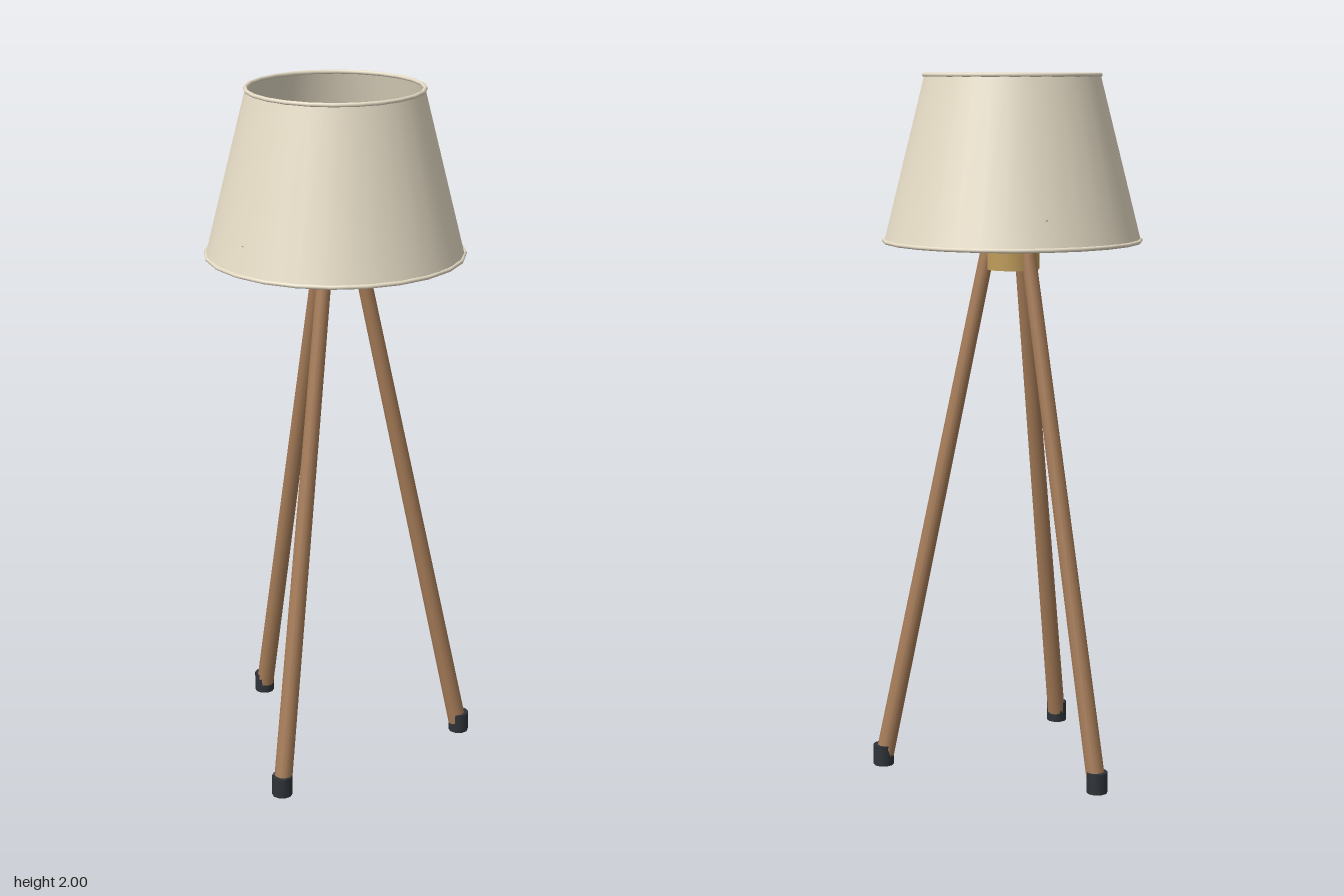
import * as THREE from 'three';

const material = (name, color, side = THREE.FrontSide) => {
  const m = new THREE.MeshStandardMaterial({ color, side });
  m.name = name;
  return m;
};

export function createModel() {
  const linen = material('linen', 0xe6dcc6, THREE.DoubleSide);
  const brass = material('brass', 0xbf9c5a);
  const wood = material('wood', 0xa67c58);
  const rubber = material('rubber', 0x2f3338);
  const glass = material('warm glass', 0xf0e2bc);

  const lamp = new THREE.Group();
  lamp.name = 'tripodFloorLamp';
  lamp.position.set(-0.005, 0, -0.02);

  const add = (name, geometry, mat, y = 0) => {
    const mesh = new THREE.Mesh(geometry, mat);
    mesh.name = name;
    mesh.position.y = y;
    lamp.add(mesh);
    return mesh;
  };
  // tapered rod between two points
  const rod = (name, a, b, ra, rb, sides, mat) => {
    const dir = b.clone().sub(a);
    const mesh = add(name, new THREE.CylinderGeometry(rb, ra, dir.length(), sides), mat);
    mesh.position.copy(a).add(b).multiplyScalar(0.5);
    mesh.quaternion.setFromUnitVectors(new THREE.Vector3(0, 1, 0), dir.normalize());
  };
  const polar = (degrees, r, y) => {
    const t = THREE.MathUtils.degToRad(degrees);
    return new THREE.Vector3(r * Math.cos(t), y, r * Math.sin(t));
  };

  // Shade: open cone with a rolled rim at each end
  add('shade', new THREE.CylinderGeometry(0.247, 0.364, 0.464, 32, 1, true), linen, 1.763);
  const rim = (name, r, y) =>
    add(name, new THREE.TorusGeometry(r, 0.006, 8, 24).rotateX(Math.PI / 2), linen, y);
  rim('shadeTopRim', 0.247, 1.994);
  rim('shadeBottomRim', 0.364, 1.532);

  // Hub, socket and bulb
  add('hub', new THREE.CylinderGeometry(0.077, 0.077, 0.15, 20), brass, 1.525);
  add('socket', new THREE.CylinderGeometry(0.038, 0.038, 0.07, 16), rubber, 1.635);
  add('bulb', new THREE.SphereGeometry(0.055, 24, 16), glass, 1.715);

  for (let i = 0; i < 3; i++) {
    // Legs splay outwards and end in upright rubber feet
    const a = 97 + i * 120;
    rod('leg', polar(a, 0.378, 0.03), polar(a, 0.063, 1.54), 0.027, 0.021, 12, wood);
    add('foot', new THREE.CylinderGeometry(0.03, 0.03, 0.06, 10), rubber)
      .position.copy(polar(a, 0.382, 0.03));
    // Arms that hold the shade
    rod('shadeArm', polar(i * 120, 0.03, 1.607), polar(i * 120, 0.343, 1.607), 0.005, 0.005, 8, brass);
  }

  const model = new THREE.Group();
  model.name = 'floorLamp';
  model.add(lamp);
  return model;
}
